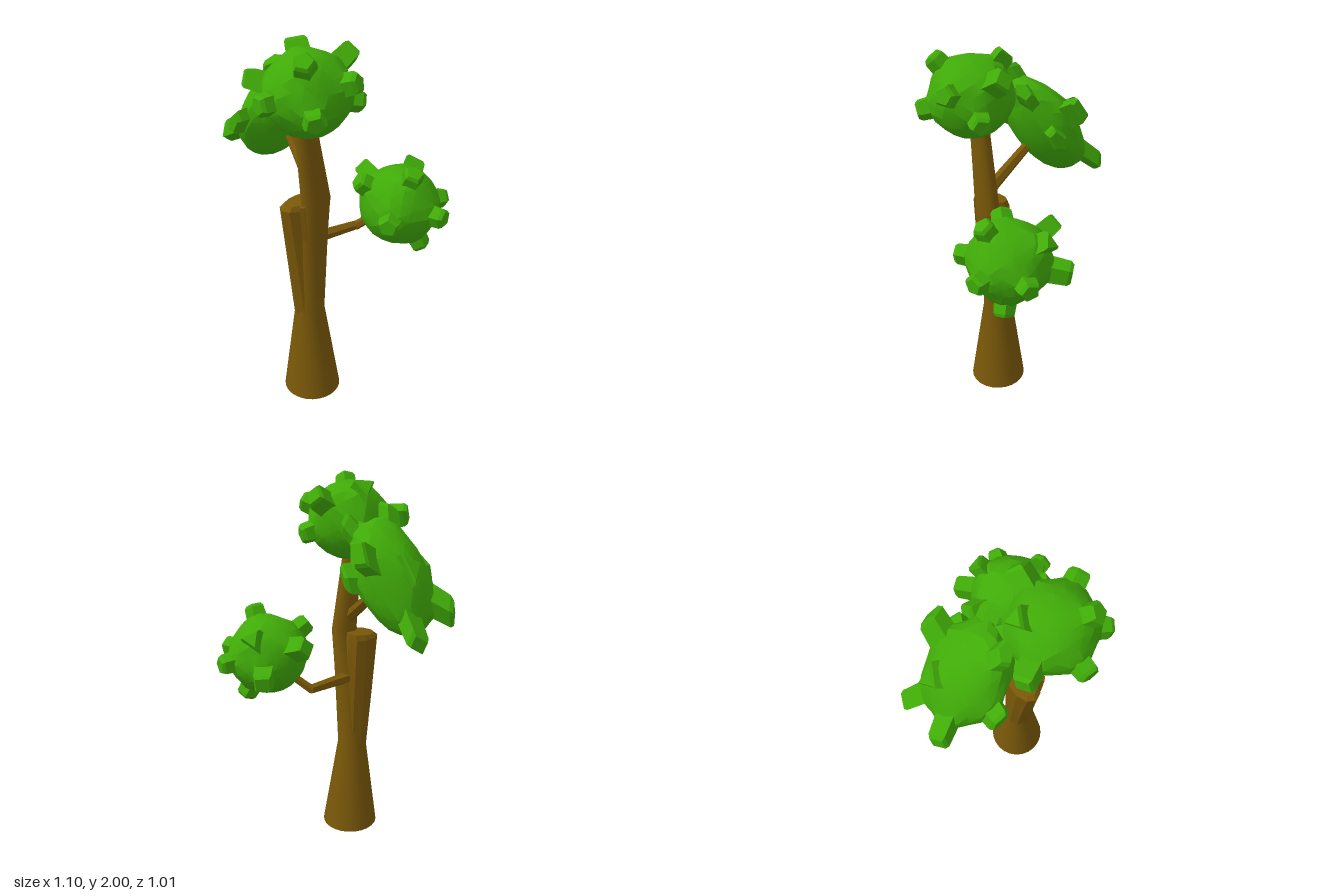
import * as THREE from 'three';
import { toCreasedNormals } from 'three/addons/utils/BufferGeometryUtils.js';

const bark = new THREE.MeshStandardMaterial({ color: 0x7a5808 });
const leaf = new THREE.MeshStandardMaterial({ color: 0x40ab08 });
const UP = new THREE.Vector3(0, 1, 0);

function named(name, geometry, material) {
  const mesh = new THREE.Mesh(geometry, material);
  mesh.name = name;
  return mesh;
}

// Closed skin over elliptical rings [y, cx, cz, rx, rz, tilt in x, tilt in z]
function loft(rings, sides, crease) {
  const pos = [], idx = [];
  for (const [y, cx, cz, rx, rz, tx = 0, tz = 0] of rings) {
    for (let j = 0; j < sides; j++) {
      const a = ((j + 0.5) / sides) * Math.PI * 2;
      const dx = Math.cos(a) * rx, dz = Math.sin(a) * rz;
      pos.push(cx + dx, y + dx * tx + dz * tz, cz + dz);
    }
  }
  const last = rings.length - 1;
  for (let i = 0; i < last; i++) {
    for (let j = 0; j < sides; j++) {
      const k = (j + 1) % sides;
      const a = i * sides + j, b = i * sides + k;
      idx.push(a, a + sides, b + sides, a, b + sides, b);
    }
  }
  for (let j = 1; j < sides - 1; j++) {
    idx.push(0, j, j + 1);
    idx.push(last * sides, last * sides + j + 1, last * sides + j);
  }
  const geo = new THREE.BufferGeometry();
  geo.setAttribute('position', new THREE.Float32BufferAttribute(pos, 3));
  geo.setIndex(idx);
  return toCreasedNormals(geo, crease);
}

// Tapered six-sided limb between two points
function limb(name, from, to, r0, r1) {
  const a = new THREE.Vector3(...from), b = new THREE.Vector3(...to);
  const d = b.clone().sub(a);
  const geo = toCreasedNormals(new THREE.CylinderGeometry(r1, r0, d.length(), 6), 0.5);
  const mesh = named(name, geo, bark);
  mesh.position.copy(a).add(b).multiplyScalar(0.5);
  mesh.quaternion.setFromUnitVectors(UP, d.normalize());
  return mesh;
}

// Stud radius and length by number of sides
const STUD = { 3: [0.062, 0.27], 4: [0.062, 0.31], 5: [0.055, 0.272] };

// Leaf ball: faceted body swelling towards bevelled studs; it can be stretched in y and slanted along x
function leafBall(name, center, studs, stretch = 1, shear = 0) {
  const group = new THREE.Group();
  group.name = name;
  const slant = new THREE.Matrix4().set(1, 0, 0, 0, shear, stretch, 0, 0, 0, 0, 1, 0, 0, 0, 0, 1);
  const dirs = studs.map(([x, y, z]) => new THREE.Vector3(x, y, z).normalize());

  const body = new THREE.IcosahedronGeometry(1, 3);
  const p = body.attributes.position, v = new THREE.Vector3();
  for (let i = 0; i < p.count; i++) {
    v.fromBufferAttribute(p, i).normalize();
    const near = Math.max(...dirs.map((d) => d.dot(v)));
    v.multiplyScalar(0.205 + 0.018 * Math.max(0, (near - 0.88) / 0.12));
    p.setXYZ(i, v.x, v.y, v.z);
  }
  body.applyMatrix4(slant);
  group.add(named('foliage', toCreasedNormals(body, 0.3), leaf));

  studs.forEach(([, , , sides = 5], i) => {
    const [r, tip] = STUD[sides];
    const profile = [[r * 1.12, 0.16], [r, tip - 0.017], [r * 0.78, tip], [0, tip]];
    const stud = new THREE.LatheGeometry(profile.map((q) => new THREE.Vector2(...q)), sides);
    stud.applyQuaternion(new THREE.Quaternion().setFromUnitVectors(UP, dirs[i]));
    stud.applyMatrix4(slant);
    group.add(named('leafStud', toCreasedNormals(stud, 0.3), leaf));
  });
  group.position.set(...center);
  return group;
}

export function createModel() {
  const tree = new THREE.Group();
  tree.name = 'tree';

  // Trunk: flared foot, narrow waist, flattened upper stem
  tree.add(named('trunk', loft([
    [0.005, 0.037, 0.17, 0.155, 0.155],
    [0.53, 0.027, 0.172, 0.08, 0.078],
    [1.0, 0.055, 0.17, 0.074, 0.082],
    [1.2, 0.087, 0.17, 0.05, 0.084],
    [1.6, 0.08, 0.222, 0.045, 0.057],
  ], 24, 0.6), bark));

  // Broken side stem with a slanted top
  tree.add(named('brokenStem', loft([
    [0.48, 0.022, 0.176, 0.076, 0.074],
    [0.85, 0.012, 0.197, 0.076, 0.092],
    [1.155, 0.006, 0.22, 0.07, 0.105],
    [1.183, 0.01, 0.212, 0.06, 0.088, 0.08, -0.1],
  ], 10, 0.3), bark));

  // Bark sliver
  const sliver = named('barkSliver', new THREE.BoxGeometry(0.025, 0.19, 0.03), bark);
  sliver.position.set(0.09, 1.095, 0.25);
  sliver.rotation.set(0.06, Math.PI / 4, 0);
  tree.add(sliver);

  // Branches
  tree.add(limb('upperBranch', [0.08, 1.25, 0.18], [-0.17, 1.47, 0.14], 0.034, 0.026));
  tree.add(limb('lowerBranch', [0.02, 0.94, 0.14], [0.055, 0.94, -0.13], 0.034, 0.025));
  tree.add(limb('lowerBranchTip', [0.053, 0.935, -0.12], [0.15, 1.03, -0.2], 0.025, 0.022));

  // Stud directions, with side count where not five
  const studs = [
    [0, 0, 1], [0.21, -0.05, 0.12], [0.235, 0.09, -0.11], [0.125, 0.19, 0.11],
    [-0.145, 0.18, -0.05, 3], [-0.23, 0.035, 0.13, 4], [0, 0.13, -0.22, 4],
    [0.1, -0.05, -0.21], [-0.24, -0.03, -0.12, 4],
  ];
  const lowStuds = [
    [0.25, 0, -0.06], [0.12, 0.21, 0.03], [0.14, 0, 0.2], [-0.09, 0.135, 0.17],
    [0.09, -0.21, -0.07], [-0.26, 0.1, 0, 4], [-0.09, 0.15, -0.18, 3],
    [0.07, -0.01, -0.23], [-0.18, -0.04, -0.2, 4],
  ];
  tree.add(leafBall('topFoliage', [0.115, 1.77, 0.235], studs));
  tree.add(leafBall('slantedFoliage', [-0.27, 1.55, 0.13], studs, 1.08, 0.75));
  tree.add(leafBall('lowerFoliage', [0.26, 1.115, -0.235], lowStuds));
  return tree;
}
